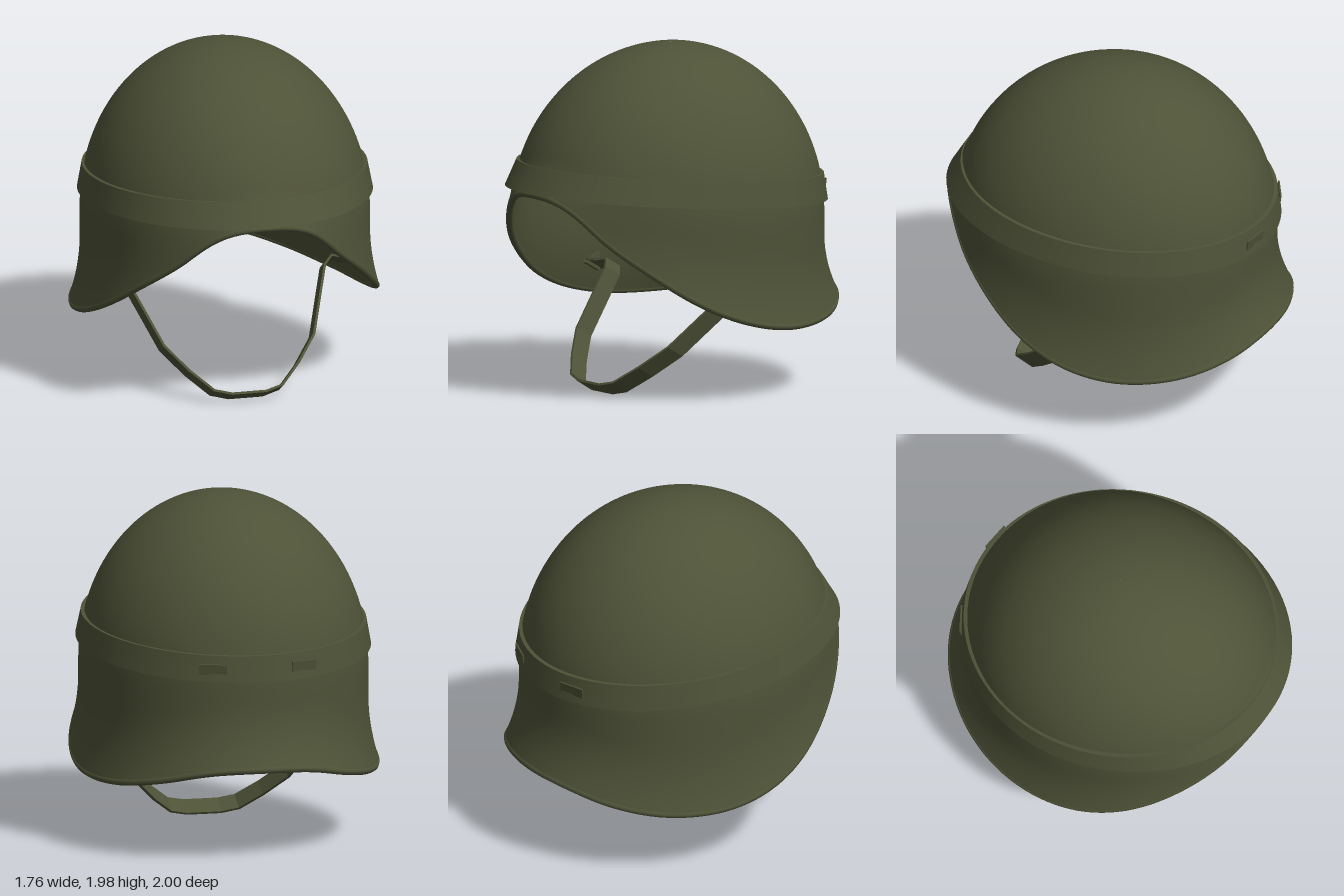
import * as THREE from 'three';

const TAU = Math.PI * 2, SEG = 96;
const TOP = 1.98;

// Height of the rim against depth, from back (z = -1) to front (z = 1)
const rimCurve = new THREE.SplineCurve(
  [0.55, 0.48, 0.435, 0.418, 0.423, 0.455, 0.515, 0.61, 0.75, 0.93, 1.185]
    .map((y, i) => new THREE.Vector2(-1 + i * 0.2, y)));
const rimY = (z) => rimCurve.getPoint(THREE.MathUtils.clamp((z + 1) / 2, 0, 1)).y;

// Skins a grid of closed cross-sections
function skin(rows, flip = false) {
  const n = rows[0].length, index = [];
  for (let i = 0; i < rows.length - 1; i++) {
    for (let j = 0; j < n; j++) {
      const a = i * n + j, d = i * n + (j + 1) % n, b = a + n, c = d + n;
      if (flip) index.push(a, d, b, d, c, b);
      else index.push(a, b, d, b, c, d);
    }
  }
  const geo = new THREE.BufferGeometry().setFromPoints(rows.flat());
  geo.setIndex(index);
  geo.computeVertexNormals();
  return geo;
}

function flat(geo) {
  const g = geo.toNonIndexed();
  g.computeVertexNormals();
  return g;
}

const loop = (fn) => Array.from({ length: SEG }, (_, j) => fn((j / SEG) * TAU));

// Point on the rim, angle measured from the front towards +x
function rimPoint(a, inset = 0) {
  const s = Math.sin(a), c = Math.cos(a);
  const narrow = c > 0 ? 1 - 0.1 * c * c : 1;
  return new THREE.Vector3((0.88 - inset) * s * narrow, rimY(c), (0.995 - inset) * c);
}

// Ellipsoid crown that runs straight down and flares out to the rim
function shellPoint(a, t, inset) {
  const rim = rimPoint(a, inset), top = TOP - inset;
  const y = rim.y + (top - rim.y) * Math.cos(t * Math.PI / 2);
  const up = Math.max(0, (y - 1) / (top - 1));
  const r = (0.82 - inset) * Math.sqrt(Math.max(0, 1 - up * up));
  const c = Math.cos(a);
  const base = new THREE.Vector3(r * Math.sin(a), y, r * c * (c > 0 ? 1.17 : 1.1));
  const flare = Math.max(0, 1 - (y - rim.y) / (0.25 * (top - rim.y))) ** 2;
  return base.lerp(new THREE.Vector3(rim.x, y, rim.z), flare);
}

function shell(inset, flip) {
  const rows = [];
  for (let i = 0; i <= 44; i++) {
    const t = Math.max(i / 44, 0.001);
    rows.push(loop((a) => shellPoint(a, t, inset)));
  }
  return skin(rows, flip);
}

// Tilted oval ring used by the band
const bandRing = (x, front, back, y0) => loop((a) => {
  const c = Math.cos(a), z = c * (c > 0 ? front : back);
  return new THREE.Vector3(x * Math.sin(a), y0 + 0.073 * z, z);
});

export function createModel() {
  const group = new THREE.Group();
  const olive = new THREE.MeshStandardMaterial({ color: 0x4e5237 });
  const add = (name, geo) => {
    const mesh = new THREE.Mesh(geo, olive);
    mesh.name = name;
    group.add(mesh);
    return mesh;
  };

  add('outerShell', shell(0, false));
  add('innerShell', shell(0.035, true));

  // Rolled edge joining the two shells
  const rim = new THREE.CatmullRomCurve3(loop((a) => rimPoint(a, 0.0175)), true);
  add('rolledRim', new THREE.TubeGeometry(rim, 128, 0.02, 8, true));

  // Band around the crown: top ledge, sloping face and underside
  const bandTop = bandRing(0.808, 0.915, 0.905, 1.267);
  const bandBottom = bandRing(0.835, 1.0, 0.925, 1.117);
  add('bandTopEdge', skin([bandRing(0.76, 0.87, 0.84, 1.267), bandTop]));
  add('band', skin([bandTop, bandBottom]));
  add('bandUnderside', skin([bandBottom, bandRing(0.79, 0.94, 0.87, 1.117)]));

  // Small loops on the back of the band and strap anchors inside
  for (const side of [-1, 1]) {
    const a = Math.PI - side * 0.33;
    const tab = add('bandLoop', new THREE.BoxGeometry(0.16, 0.06, 0.009));
    tab.position.set(0.822 * Math.sin(a), 1.125, 0.917 * Math.cos(a));
    tab.rotation.set(0.12, a, 0, 'YXZ');

    const anchor = add('strapAnchor', flat(new THREE.CylinderGeometry(0.065, 0.065, 0.04, 3)));
    anchor.rotation.z = Math.PI / 2;
    anchor.position.set(side * 0.785, 0.61, -0.03);
  }

  // Chin strap: a flat ribbon hanging forward in a slanted plane
  const half = [[0.79, 0.6], [0.7, 0.605], [0.63, 0.62], [0.58, 0.58], [0.52, 0.45],
    [0.44, 0.275], [0.32, 0.155], [0.2, 0.06], [0.1, 0.038]];
  const path = [...half.map(([x, y]) => [-x, y]), ...half.slice().reverse()]
    .map(([x, y]) => new THREE.Vector3(x, y, 0.57 - y));
  const w = new THREE.Vector3(0, 0.03, 0.05);
  const rows = path.map((p, i) => {
    const tangent = path[Math.min(i + 1, path.length - 1)].clone().sub(path[Math.max(i - 1, 0)]);
    const n = tangent.cross(w).normalize().multiplyScalar(0.007);
    return [[-1, 1], [1, 1], [1, -1], [-1, -1]].map(([u, v]) =>
      p.clone().addScaledVector(w, u).addScaledVector(n, v));
  });
  add('chinStrap', flat(skin(rows)));

  return group;
}
